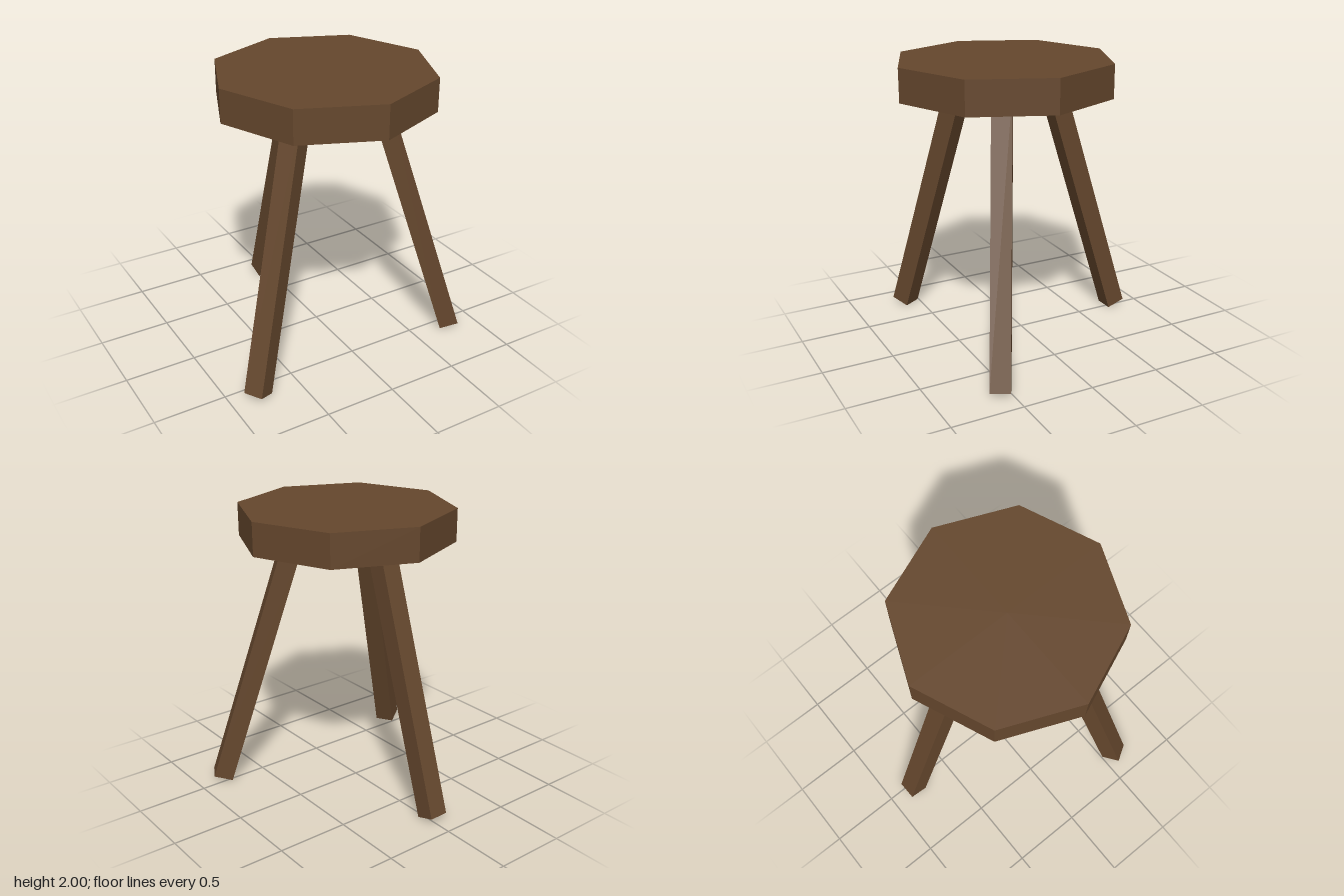
import * as THREE from 'three';

export function createModel() {
  const model = new THREE.Group();
  model.name = 'stool';

  const wood = new THREE.MeshStandardMaterial({ color: 0x65472d, flatShading: true });
  wood.name = 'brown wood';

  // Centre of the seat and of the ring of legs
  const cx = -0.012, cz = 0.12;

  // Octagonal seat slab
  const seat = new THREE.Mesh(new THREE.CylinderGeometry(0.75, 0.75, 0.23, 8), wood);
  seat.name = 'seat';
  seat.position.set(cx, 1.885, cz);
  model.add(seat);

  // Three square legs, splayed outwards, their tops sunk into the seat
  const width = 0.136, length = 1.93, footRadius = 0.925;
  const tilt = THREE.MathUtils.degToRad(17.6);
  const legGeometry = new THREE.BoxGeometry(width, length, width);
  legGeometry.translate(0, length / 2, 0);

  ['leftLeg', 'rightLeg', 'backLeg'].forEach((name, i) => {
    const angle = THREE.MathUtils.degToRad(28.8 + i * 120);
    const leg = new THREE.Mesh(legGeometry, wood);
    leg.name = name;
    leg.position.set(
      cx + footRadius * Math.cos(angle),
      (width / 2) * Math.sin(tilt),
      cz + footRadius * Math.sin(angle)
    );
    leg.rotation.set(0, -angle, tilt);
    model.add(leg);
  });

  return model;
}
